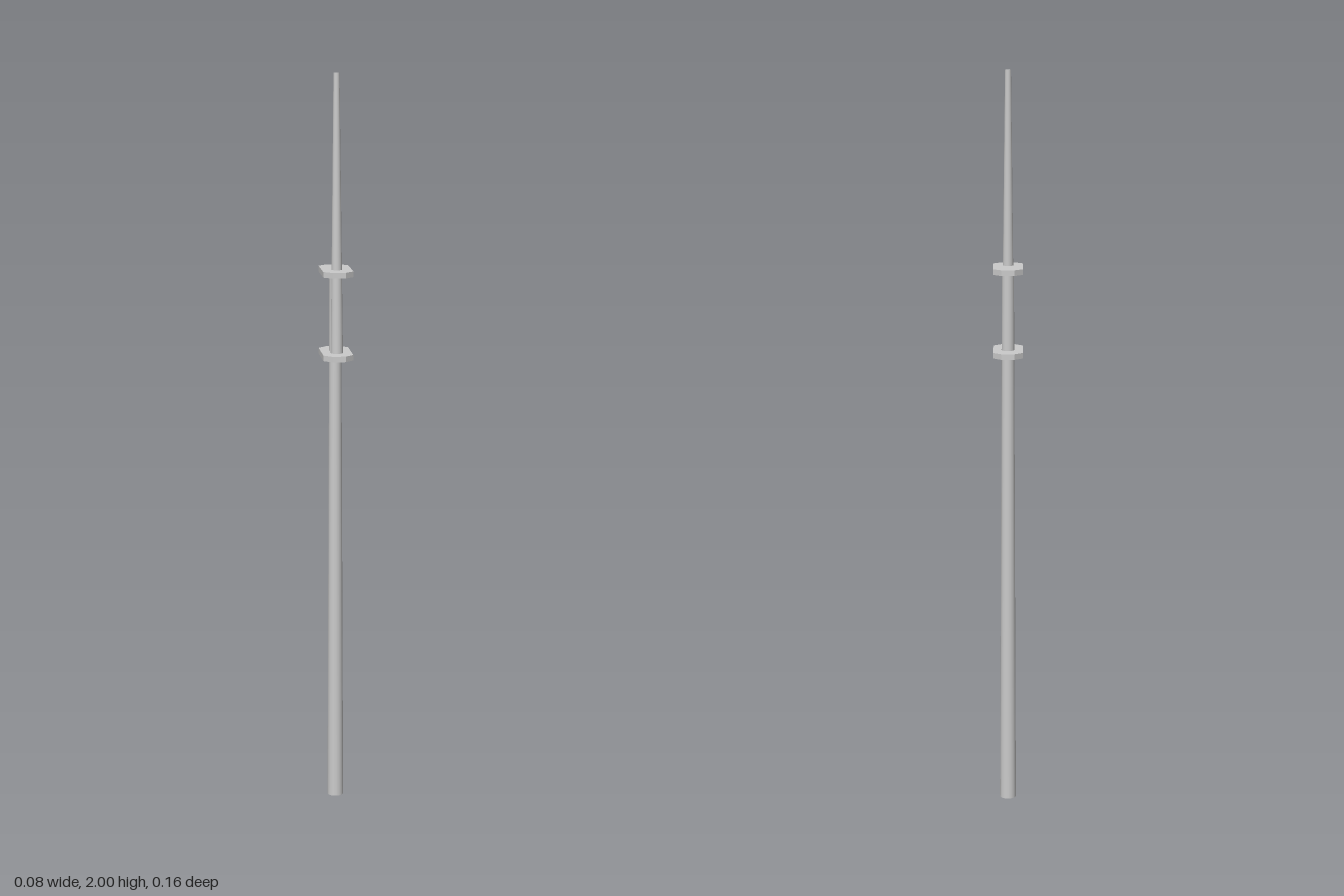
import * as THREE from 'three';

const material = new THREE.MeshStandardMaterial({ color: 0xcccccc });

// Tapered round spar between two points
function spar(name, from, to, rBottom, rTop) {
  const axis = to.clone().sub(from);
  const mesh = new THREE.Mesh(new THREE.CylinderGeometry(rTop, rBottom, axis.length(), 16), material);
  mesh.position.copy(from).add(to).multiplyScalar(0.5);
  mesh.quaternion.setFromUnitVectors(new THREE.Vector3(0, 1, 0), axis.normalize());
  mesh.name = name;
  return mesh;
}

// Flat plate with clipped corners
function plate(name, y) {
  const w = 0.04, d = 0.08, c = 0.0225, thickness = 0.015;
  const outline = [
    [w, d - c], [w - c, d], [c - w, d], [-w, d - c],
    [-w, c - d], [c - w, -d], [w - c, -d], [w, c - d],
  ].map(([x, z]) => new THREE.Vector2(x, z));
  const geometry = new THREE.ExtrudeGeometry(new THREE.Shape(outline), { depth: thickness, bevelEnabled: false });
  geometry.translate(0, 0, -thickness / 2).rotateX(-Math.PI / 2);
  const mesh = new THREE.Mesh(geometry, material);
  mesh.position.y = y;
  mesh.name = name;
  return mesh;
}

export function createModel() {
  const group = new THREE.Group();
  group.name = 'mast';
  const v = (y, z) => new THREE.Vector3(0, y, z);
  // Lower mast stands behind, the slightly raked topmast in front
  group.add(
    spar('lowerMast', v(0, -0.013), v(1.477, -0.014), 0.022, 0.016),
    spar('topmast', v(1.255, 0.023), v(2, 0.0145), 0.0165, 0.008),
    plate('lowerPlatform', 1.255),
    plate('mastCap', 1.478),
  );
  return group;
}
